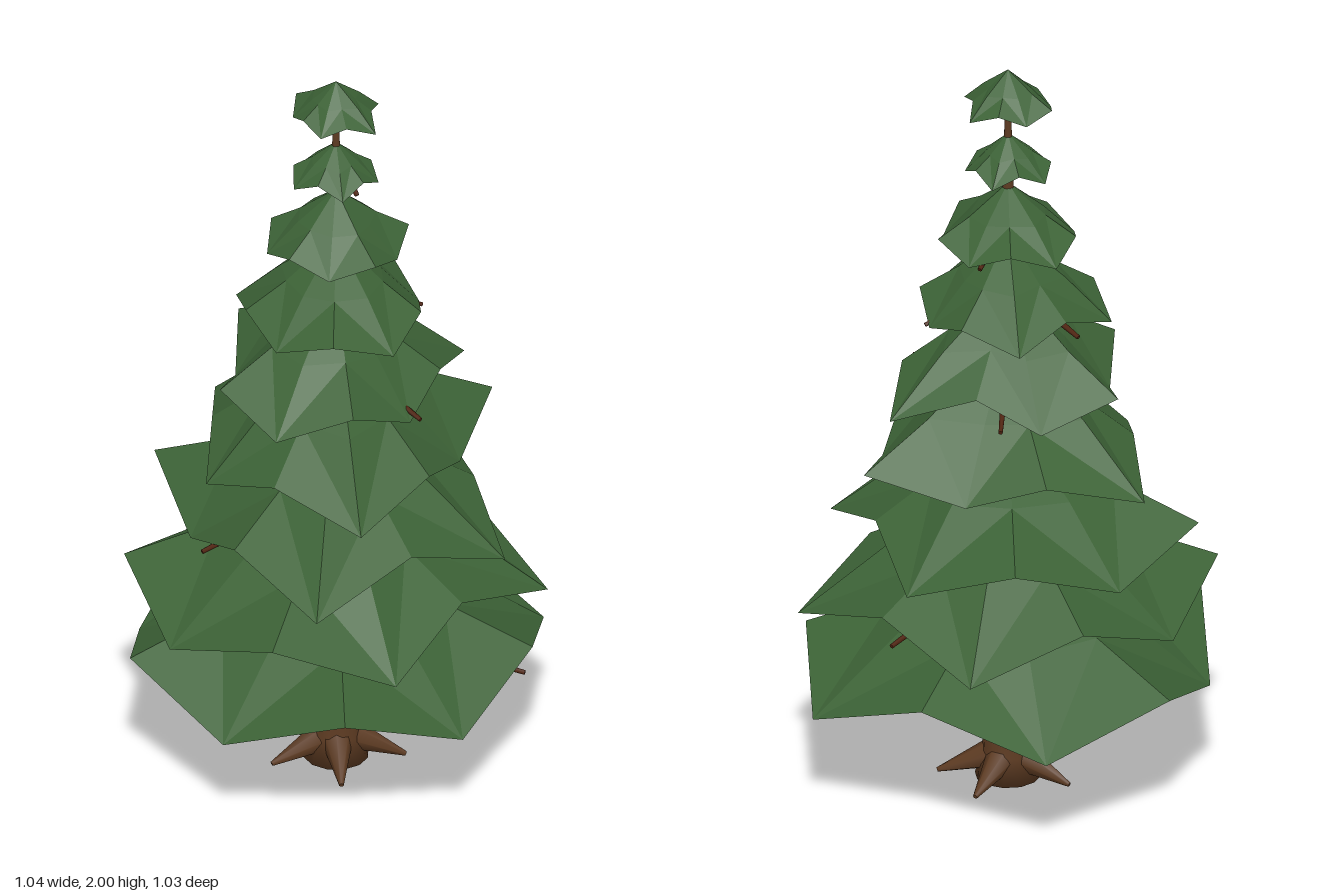
import * as THREE from 'three';

const leaf = new THREE.MeshStandardMaterial({ color: 0x3c6236, flatShading: true });
leaf.name = 'needle green';
const bark = new THREE.MeshStandardMaterial({ color: 0x5c3a21 });
bark.name = 'bark brown';
const twigWood = new THREE.MeshStandardMaterial({ color: 0x502410 });
twigWood.name = 'twig brown';

// Each tier: low rim y, high rim y, apex y, underside centre y, first angle in degrees, rim radii.
// Rim points alternate high and low, starting high.
const TIERS = [
  [0.285, 0.40, 0.66, 0.26, 0, [0.52, 0.52, 0.54, 0.52, 0.56, 0.52, 0.57, 0.545, 0.51, 0.565]],
  [0.49, 0.59, 0.86, 0.51, 21, [0.40, 0.51, 0.51, 0.52, 0.54, 0.48, 0.45, 0.52, 0.44, 0.54]],
  [0.69, 0.78, 1.04, 0.71, 44, [0.38, 0.51, 0.39, 0.38, 0.505, 0.46, 0.46, 0.465, 0.36, 0.47]],
  [0.90, 0.97, 1.25, 0.92, 30, [0.34, 0.435, 0.34, 0.37, 0.32, 0.44, 0.35, 0.32, 0.445, 0.32]],
  [1.10, 1.17, 1.40, 1.12, 66, [0.30, 0.33, 0.33, 0.26, 0.355, 0.30, 0.24, 0.365, 0.27, 0.27]],
  [1.31, 1.36, 1.54, 1.32, 4, [0.23, 0.26, 0.26, 0.25, 0.24, 0.27, 0.22, 0.27, 0.24, 0.22]],
  [1.51, 1.55, 1.68, 1.52, 44, [0.20, 0.18, 0.18, 0.18, 0.18, 0.20, 0.18, 0.18, 0.19, 0.17]],
  [1.71, 1.74, 1.82, 1.72, 30, [0.10, 0.12, 0.10, 0.12, 0.11, 0.12, 0.10, 0.12, 0.10, 0.11]],
  [1.89, 1.915, 2.00, 1.90, 59, [0.10, 0.11, 0.10, 0.11, 0.13, 0.12, 0.11, 0.13, 0.09, 0.13]],
];

// Faceted canopy: apex fan, lower skirt with ridges along the drooping tips, underside fan
function tierGeometry([low, high, top, under, start, radii]) {
  const n = radii.length;
  const ring = (f, lift) => radii.map((r, i) => {
    const a = THREE.MathUtils.degToRad(start + (i * 360) / n);
    const y = THREE.MathUtils.lerp(top, i % 2 ? low : high, f) + lift * r * (i % 2 ? 1 : -1);
    return [f * r * Math.cos(a), y, f * r * Math.sin(a)];
  });
  const mid = ring(0.55, 0.045), rim = ring(1, 0);
  const pos = [];
  for (let i = 0; i < n; i++) {
    const j = (i + 1) % n;
    pos.push(0, top, 0, ...mid[j], ...mid[i]);
    // split each skirt panel so the ridge stays on the drooping tip
    if (i % 2) pos.push(...mid[i], ...mid[j], ...rim[i], ...mid[j], ...rim[j], ...rim[i]);
    else pos.push(...mid[i], ...mid[j], ...rim[j], ...mid[i], ...rim[j], ...rim[i]);
    pos.push(0, under, 0, ...rim[i], ...rim[j]);
  }
  const geo = new THREE.BufferGeometry();
  geo.setAttribute('position', new THREE.Float32BufferAttribute(pos, 3));
  geo.computeVertexNormals();
  return geo;
}

// Tapered rod between two points
function rod(name, from, to, r0, r1, sides, material) {
  const a = new THREE.Vector3(...from), b = new THREE.Vector3(...to);
  const dir = b.clone().sub(a);
  const mesh = new THREE.Mesh(new THREE.CylinderGeometry(r1, r0, dir.length(), sides), material);
  mesh.position.copy(a).add(b).multiplyScalar(0.5);
  mesh.quaternion.setFromUnitVectors(new THREE.Vector3(0, 1, 0), dir.normalize());
  mesh.name = name;
  return mesh;
}

export function createModel() {
  const tree = new THREE.Group();
  tree.name = 'pineTree';

  // Trunk with a flared foot
  const profile = [[0, 0], [0.085, 0], [0.067, 0.07], [0.058, 0.25], [0.045, 0.8], [0.012, 1.75], [0.006, 1.95], [0, 1.95]];
  const trunk = new THREE.Mesh(
    new THREE.LatheGeometry(profile.map(([x, y]) => new THREE.Vector2(x, y)), 12), bark);
  trunk.name = 'trunk';
  tree.add(trunk);

  // Roots spreading over the ground
  const roots = new THREE.Group();
  roots.name = 'roots';
  for (const degrees of [352, 70, 140, 202, 290]) {
    const a = THREE.MathUtils.degToRad(degrees), c = Math.cos(a), s = Math.sin(a);
    roots.add(rod('root', [0.04 * c, 0.06, 0.04 * s], [0.18 * c, 0.012, 0.18 * s], 0.04, 0.006, 7, bark));
  }
  tree.add(roots);

  // Foliage tiers
  const foliage = new THREE.Group();
  foliage.name = 'foliage';
  TIERS.forEach((tier, i) => {
    const mesh = new THREE.Mesh(tierGeometry(tier), leaf);
    mesh.name = `foliageTier${i + 1}`;
    foliage.add(mesh);
  });
  tree.add(foliage);

  // Twigs: short ends rising out of the foliage undersides, tips near the rims
  const twigs = new THREE.Group();
  twigs.name = 'twigs';
  const tips = [
    [0.50, 0.32, 0.0], [0.25, 0.525, -0.37], [-0.275, 0.72, 0.285], [-0.02, 1.11, -0.29],
    [0.26, 1.11, 0.13], [-0.20, 1.32, -0.14], [0.20, 1.31, -0.10], [0.05, 1.51, -0.17],
    [-0.08, 1.70, 0.03], [0.07, 1.70, 0.05],
  ];
  for (const [x, y, z] of tips) {
    twigs.add(rod('twig', [0.65 * x, y + 0.03, 0.65 * z], [x, y, z], 0.009, 0.006, 6, twigWood));
  }
  tree.add(twigs);

  return tree;
}
